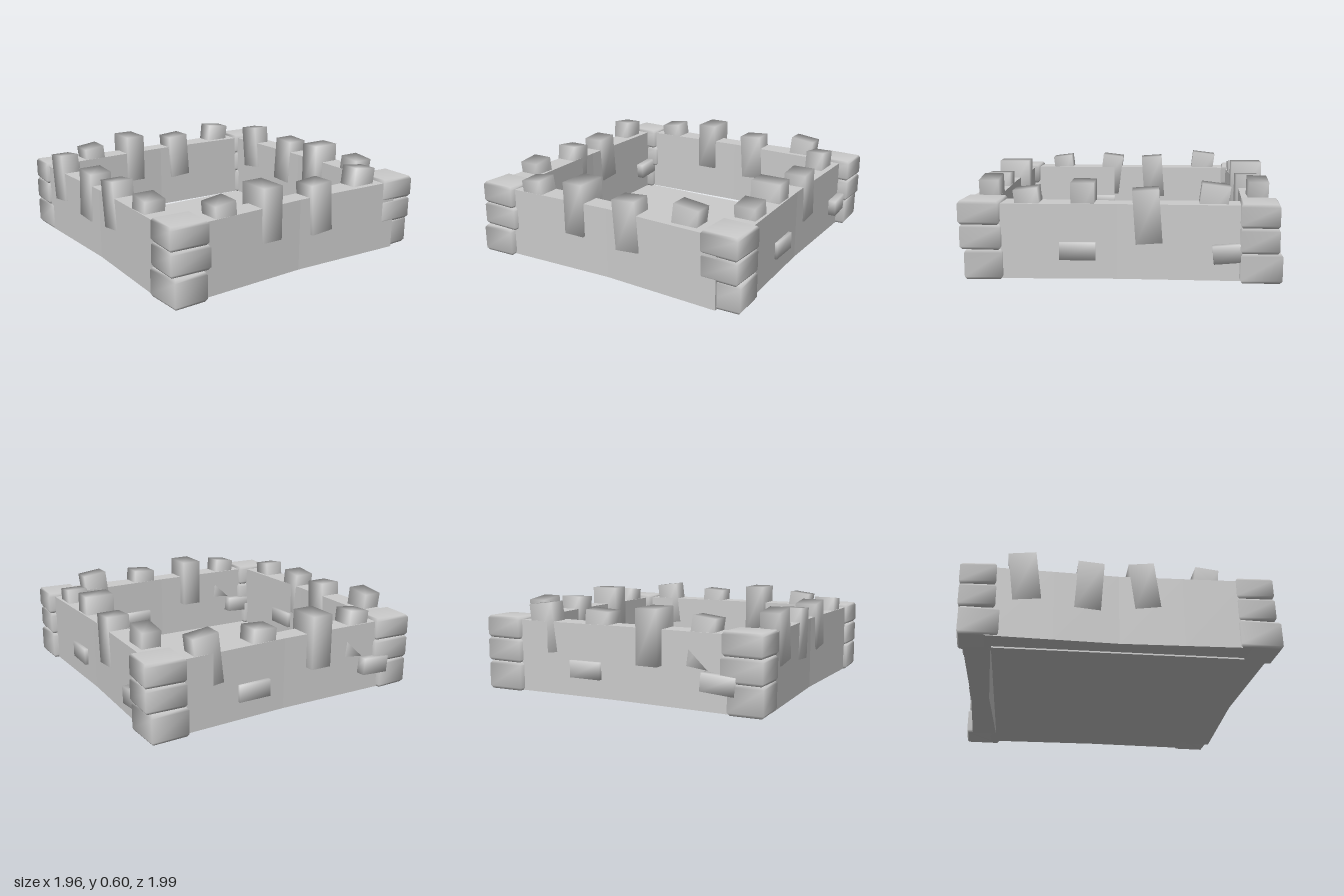
import * as THREE from 'three';
import { mergeVertices } from 'three/addons/utils/BufferGeometryUtils.js';

const smoothMat = new THREE.MeshStandardMaterial({ color: 0xcccccc });
const flatMat = new THREE.MeshStandardMaterial({ color: 0xcccccc, flatShading: true });
const rad = THREE.MathUtils.degToRad;

// Box with shared corners, so its shading is pillowy; inset pulls in the top and bottom rims
function stone(name, [x, y, z], [w, h, d], [rx, ry, rz] = [0, 0, 0], inset = 0) {
  let g = new THREE.BoxGeometry(w, h, d, 1, inset ? 3 : 1, 1);
  const p = g.attributes.position;
  for (let i = 0; inset && i < p.count; i++) {
    if (Math.abs(p.getY(i)) > h * 0.49) {
      p.setX(i, p.getX(i) - Math.sign(p.getX(i)) * inset);
      p.setZ(i, p.getZ(i) - Math.sign(p.getZ(i)) * inset);
    } else {
      p.setY(i, Math.sign(p.getY(i)) * (h / 2 - inset * 1.5));
    }
  }
  g.deleteAttribute('uv');
  g.deleteAttribute('normal');
  g = mergeVertices(g);
  g.computeVertexNormals();
  const m = new THREE.Mesh(g, smoothMat);
  m.name = name;
  m.position.set(x, y, z);
  m.rotation.set(rad(rx), rad(ry), rad(rz));
  return m;
}

// Piecewise-linear value from three stations at -0.8, 0 and 0.8
const bend = ([a, b, c], t) => (t < 0 ? b + (a - b) * (-t / 0.8) : b + (c - b) * (t / 0.8));

// Wall running along 'x' or 'z', its two faces bent by the station values
function wallPanel(axis, low, high) {
  const alongX = axis === 'x';
  const g = alongX
    ? new THREE.BoxGeometry(1.6, 0.465, 0.15, 4, 1, 1)
    : new THREE.BoxGeometry(0.15, 0.465, 1.6, 1, 1, 4);
  const p = g.attributes.position;
  for (let i = 0; i < p.count; i++) {
    const t = alongX ? p.getX(i) : p.getZ(i);
    const across = alongX ? p.getZ(i) : p.getX(i);
    const v = bend(across < 0 ? low : high, t);
    if (alongX) p.setZ(i, v);
    else p.setX(i, v);
  }
  g.translate(0, 0.2425, 0);
  g.computeVertexNormals();
  const m = new THREE.Mesh(g, flatMat);
  m.name = 'wallPanel';
  return m;
}

// Front and back wall with battlements and two loose bricks
function longWall(name, shift) {
  const wall = new THREE.Group();
  wall.name = name;
  wall.add(
    wallPanel('x', [-0.93, -0.918, -0.945], [-0.765, -0.795, -0.76]),
    stone('battlement', [-0.568, 0.41, -0.85], [0.148, 0.305, 0.145], [2, 1, 7]),
    stone('battlement', [-0.238, 0.428, -0.876], [0.143, 0.345, 0.215]),
    stone('battlement', [0.158, 0.397, -0.845], [0.163, 0.328, 0.15], [0, 1, 4]),
    stone('battlement', [0.55, 0.43, -0.873], [0.172, 0.32, 0.125], [0, 0, -7]),
    stone('wallBrick', [0.23, 0.185, -0.9], [0.22, 0.11, 0.095], [0, 0, 0]),
    stone('wallBrick', [-0.695, 0.187, -0.93], [0.21, 0.11, 0.1], [0, 4, 5])
  );
  wall.position.z = shift;
  return wall;
}

// Side wall; the third battlement differs between the two sides
function sideWall(name, shift, third) {
  const wall = new THREE.Group();
  wall.name = name;
  wall.add(
    wallPanel('z', [0.73, 0.758, 0.73], [0.895, 0.885, 0.912]),
    stone('battlement', [0.815, 0.41, 0.54], [0.14, 0.305, 0.148], [7, 0, 0]),
    stone('battlement', [0.82, 0.397, -0.183], [0.15, 0.328, 0.163], [4, 1, 0]),
    stone('battlement', [0.79, 0.43, -0.58], [0.125, 0.32, 0.172], [-7, 0, 0]),
    third,
    stone('wallBrick', [0.865, 0.185, 0.24], [0.095, 0.11, 0.22]),
    stone('wallBrick', [0.895, 0.187, -0.685], [0.1, 0.11, 0.21], [5, 0, 0])
  );
  wall.position.x = shift;
  return wall;
}

// Corner post of three stacked stones, each given as x0, x1, z0, z1, yaw
function cornerPost(name, layers) {
  const post = new THREE.Group();
  post.name = name;
  const levels = [0.01, 0.195, 0.35, 0.495];
  layers.forEach(([x0, x1, z0, z1, yaw], i) => {
    const y0 = levels[i], y1 = levels[i + 1];
    post.add(stone('cornerStone', [(x0 + x1) / 2, (y0 + y1) / 2, (z0 + z1) / 2],
      [x1 - x0, y1 - y0, z1 - z0], [0, yaw, 0], 0.012));
  });
  return post;
}

export function createModel() {
  const model = new THREE.Group();
  model.name = 'stoneEnclosure';

  // Thin floor slab
  const floor = new THREE.Mesh(new THREE.BoxGeometry(1.55, 0.01, 1.55), flatMat);
  floor.name = 'floor';
  floor.position.set(-0.045, 0.005, 0.015);
  model.add(floor);

  // Walls
  model.add(
    longWall('backWall', 0),
    longWall('frontWall', 1.705),
    sideWall('leftWall', 0,
      stone('battlement', [0.782, 0.428, 0.21], [0.2, 0.345, 0.143])),
    sideWall('rightWall', -1.69,
      stone('battlement', [0.817, 0.415, 0.16], [0.145, 0.31, 0.16], [-7, 0, 0]))
  );

  // Corner posts, bottom stone first
  model.add(
    cornerPost('frontRightPost', [
      [-0.975, -0.75, 0.73, 0.99, 2],
      [-0.975, -0.71, 0.74, 0.97, -2],
      [-0.975, -0.72, 0.74, 0.97, -3]]),
    cornerPost('frontLeftPost', [
      [0.69, 0.95, 0.7, 0.93, 2],
      [0.705, 0.945, 0.7, 0.95, -2],
      [0.705, 0.95, 0.705, 0.955, -3]]),
    cornerPost('backRightPost', [
      [-0.97, -0.75, -0.96, -0.72, 2],
      [-0.975, -0.71, -0.96, -0.74, -2],
      [-0.975, -0.72, -0.96, -0.74, -4]]),
    cornerPost('backLeftPost', [
      [0.71, 0.955, -0.99, -0.74, 2],
      [0.71, 0.97, -0.975, -0.745, -2],
      [0.71, 0.97, -0.975, -0.745, -3]])
  );
  return model;
}
